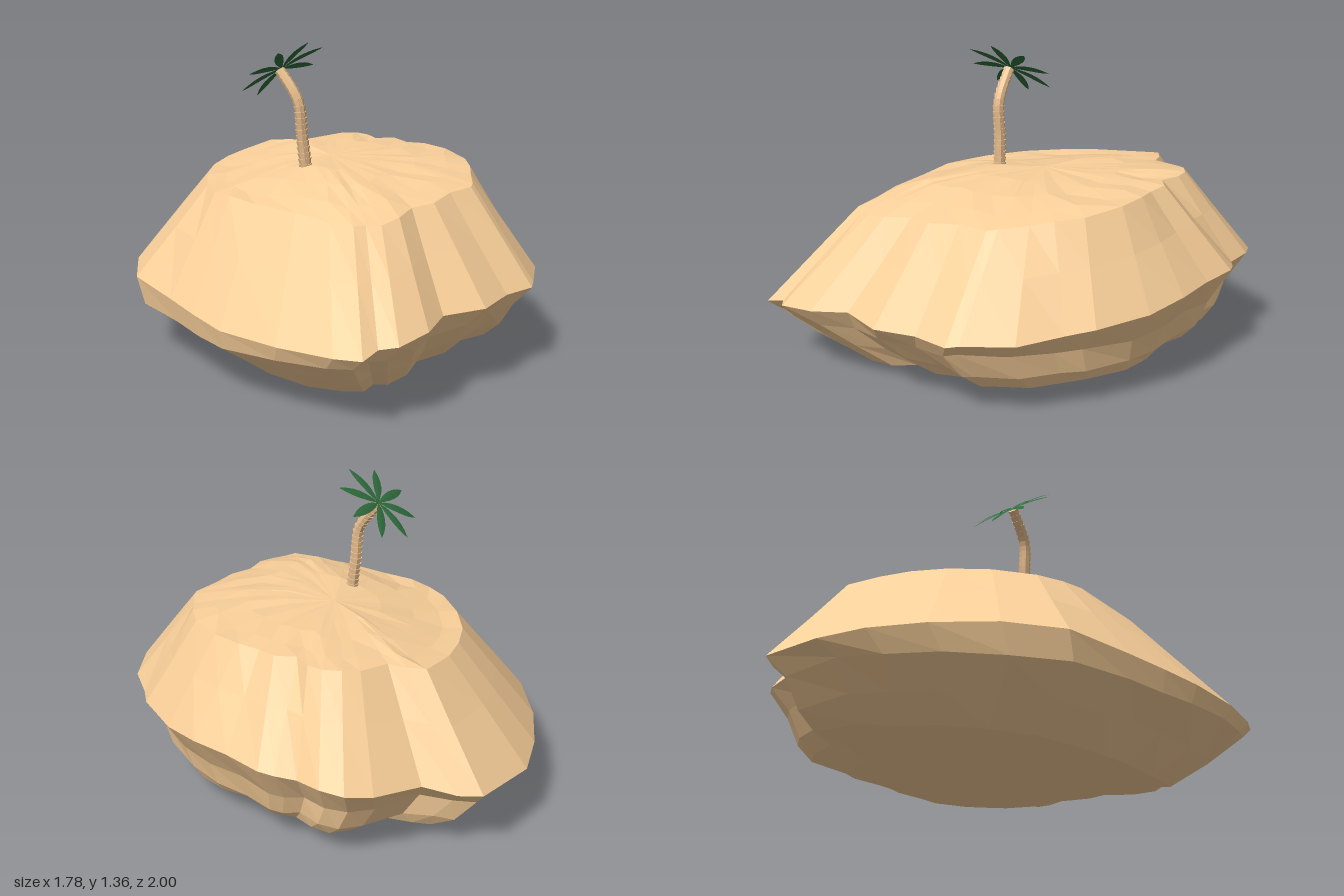
import * as THREE from 'three';

// island outline, clockwise from the back: [rim x, rim z, plateau x, plateau z]
const OUTLINE = [
  [0.10, -1.0, 0.12, -0.62], [0.42, -0.96, 0.31, -0.62], [0.47, -0.87, 0.35, -0.55],
  [0.52, -0.73, 0.37, -0.47], [0.73, -0.63, 0.50, -0.42], [0.82, -0.55, 0.56, -0.37],
  [0.85, -0.45, 0.60, -0.30], [0.83, -0.33, 0.60, -0.23], [0.87, -0.25, 0.56, -0.15],
  [0.89, -0.18, 0.61, -0.07], [0.86, 0.0, 0.59, 0.02], [0.84, 0.19, 0.60, 0.12],
  [0.78, 0.38, 0.58, 0.26], [0.66, 0.61, 0.50, 0.43], [0.57, 0.70, 0.41, 0.52],
  [0.44, 0.86, 0.33, 0.58], [0.25, 0.97, 0.23, 0.66], [0.20, 0.995, 0.19, 0.68],
  [0.04, 0.975, 0.05, 0.67], [-0.15, 1.0, -0.09, 0.69], [-0.34, 0.93, -0.20, 0.66],
  [-0.50, 0.98, -0.32, 0.69], [-0.67, 0.97, -0.42, 0.68], [-0.72, 0.91, -0.47, 0.64],
  [-0.81, 0.91, -0.52, 0.62], [-0.85, 0.80, -0.53, 0.50], [-0.89, 0.55, -0.54, 0.33],
  [-0.89, 0.24, -0.54, 0.10], [-0.85, 0.05, -0.53, -0.06], [-0.80, -0.15, -0.51, -0.17],
  [-0.72, -0.46, -0.45, -0.28], [-0.54, -0.66, -0.32, -0.42], [-0.32, -0.83, -0.17, -0.53],
  [-0.10, -0.94, -0.02, -0.59],
];

// repeatable roughness in -1..1
const rough = (i, k) => {
  const s = Math.sin(i * 12.9898 + k * 78.233) * 43758.5453;
  return (s - Math.floor(s)) * 2 - 1;
};

// scaled and shifted copy of the rim, used below it; fuller at the +x corners
const under = (s, shift, y0, slope, bump, full = 0) => ([x, z], i) => {
  const k = s * (1 + full * Math.max(0, x) * Math.abs(z));
  const px = x * k + shift, pz = z * k + 0.1 * (1 - s);
  const y = y0 + slope * px + 0.08 * Math.max(0, pz - 0.3) + bump * rough(i, s);
  return [px, Math.max(0, y), pz];
};
const rimY = (x, z) => 0.375 + 0.1 * x ** 3 - 0.045 * Math.min(z, 0) ** 2;
const edgeY = (x, z) => 0.77 + 0.075 * x - 0.045 * z * z;
// height of the plateau's middle, falling away towards the back left
const topY = (x, z) => 0.832 - 0.16 * Math.max(0, -(x + z) - 0.05);

// point on the flank, t = 0 at the rim and 1 at the plateau edge
const flank = (t, bump) => ([x, z, tx, tz], i) => [
  x + (tx - x) * t,
  rimY(x, z) + (edgeY(tx, tz) - rimY(x, z)) * t + bump * rough(i, t),
  z + (tz - z) * t,
];

// shrunken copy of the plateau edge, rising by a share of the way to the middle
const plateau = (s, rise, bump) => ([, , x, z], i) => {
  const y = edgeY(x, z), px = x * s + 0.02 * (1 - s), pz = z * s;
  return [px, y + (topY(px, pz) - y) * rise + bump * rough(i, s), pz];
};

function islandGeometry() {
  const rings = [
    under(0.35, 0.07, 0.018, 0.02, 0.006), under(0.56, 0.06, 0.03, 0.05, 0.008, 0.2),
    under(0.7, 0.06, 0.055, 0.09, 0.008, 0.22), under(0.82, 0.01, 0.14, 0.04, 0.008, 0.12),
    under(0.93, -0.04, 0.25, 0.04, 0.008, 0.04),
    flank(0, 0.008), flank(0.55, 0), flank(1, 0.005),
    plateau(0.84, 0.4, 0.008), plateau(0.62, 0.8, 0.006), plateau(0.35, 0.97, 0.004),
  ].map((rule) => OUTLINE.map(rule));
  const n = OUTLINE.length;
  const pos = rings.flat(2);
  const idx = [];
  for (let r = 0; r < rings.length - 1; r++) {
    for (let i = 0; i < n; i++) {
      const j = (i + 1) % n;
      const a = r * n + i, b = r * n + j, c = a + n, d = b + n;
      idx.push(a, c, d, a, d, b);
    }
  }
  // close underside and plateau with fans
  const low = rings.length * n, high = low + 1, last = (rings.length - 1) * n;
  pos.push(0.15, 0.008, 0.1, 0.05, 0.83, 0);
  for (let i = 0; i < n; i++) {
    const j = (i + 1) % n;
    idx.push(low, i, j, high, last + j, last + i);
  }
  const geo = new THREE.BufferGeometry();
  geo.setAttribute('position', new THREE.Float32BufferAttribute(pos, 3));
  geo.setIndex(idx);
  geo.computeVertexNormals();
  return geo;
}

// pointed leaf along +x, folded at the midrib and drooping slightly
function leafGeometry(length, width) {
  const steps = 6, pos = [], idx = [];
  for (let i = 0; i <= steps; i++) {
    const t = i / steps;
    const w = width / 2 * Math.pow(Math.sin(Math.PI * Math.pow(t, 1.1)), 0.8) + 0.001;
    const y = 0.008 * Math.sin(t * Math.PI) - 0.004 * t * t;
    pos.push(t * length, y - w * 0.1, -w, t * length, y, 0, t * length, y - w * 0.1, w);
  }
  for (let i = 0; i < steps; i++) {
    for (let k = 0; k < 2; k++) {
      const a = i * 3 + k;
      idx.push(a, a + 1, a + 4, a, a + 4, a + 3);
    }
  }
  const geo = new THREE.BufferGeometry();
  geo.setAttribute('position', new THREE.Float32BufferAttribute(pos, 3));
  geo.setIndex(idx);
  geo.computeVertexNormals();
  return geo;
}

export function createModel() {
  const model = new THREE.Group();
  const sand = new THREE.MeshStandardMaterial({ color: 0xfad09a, flatShading: true });
  const bark = new THREE.MeshStandardMaterial({ color: 0xf0c492, flatShading: true });
  const green = new THREE.MeshStandardMaterial({ color: 0x2f6b3c, flatShading: true, side: THREE.DoubleSide });

  const island = new THREE.Mesh(islandGeometry(), sand);
  island.name = 'island';
  model.add(island);

  const palm = new THREE.Group();
  palm.name = 'palmTree';
  model.add(palm);

  // trunk of flared segments along a bent path
  const trunk = new THREE.Group();
  trunk.name = 'trunk';
  palm.add(trunk);
  const path = new THREE.CatmullRomCurve3([
    new THREE.Vector3(-0.162, 0.8, 0.045), new THREE.Vector3(-0.17, 0.95, 0.03),
    new THREE.Vector3(-0.18, 1.09, 0.022), new THREE.Vector3(-0.184, 1.14, -0.003),
    new THREE.Vector3(-0.19, 1.23, -0.08),
  ]);
  const up = new THREE.Vector3(0, 1, 0);
  const count = 18;
  for (let i = 0; i < count; i++) {
    const a = path.getPointAt(i / count), b = path.getPointAt((i + 1) / count);
    const dir = b.clone().sub(a);
    const geo = new THREE.CylinderGeometry(0.03 - i * 0.0003, 0.024 - i * 0.0002, dir.length() * 1.12, 8);
    const segment = new THREE.Mesh(geo, bark);
    segment.name = 'trunkSegment';
    segment.position.copy(a).add(b).multiplyScalar(0.5);
    segment.quaternion.setFromUnitVectors(up, dir.normalize());
    trunk.add(segment);
  }

  // crown of eight leaves, tilted back with the trunk
  const crown = new THREE.Group();
  crown.name = 'crown';
  crown.position.set(-0.18, 1.238, -0.08);
  crown.rotation.x = -0.7;
  palm.add(crown);
  const leafGeo = leafGeometry(0.202, 0.042);
  for (let i = 0; i < 8; i++) {
    const leaf = new THREE.Mesh(leafGeo, green);
    leaf.name = 'leaf';
    leaf.rotation.y = i * Math.PI / 4;
    crown.add(leaf);
  }
  return model;
}
